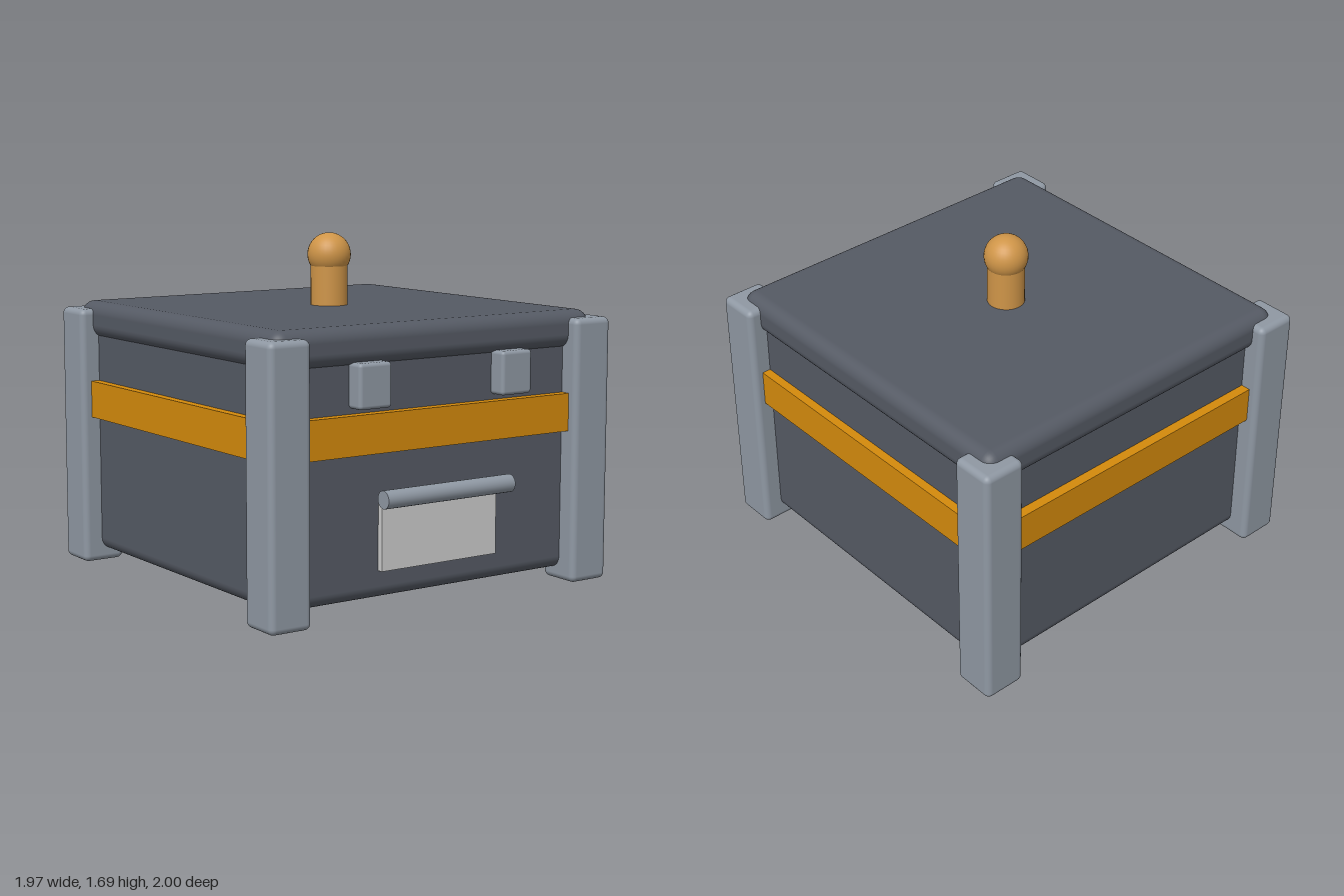
import * as THREE from 'three';
import { RoundedBoxGeometry } from 'three/addons/geometries/RoundedBoxGeometry.js';

const paint = (name, color) => {
  const m = new THREE.MeshStandardMaterial({ color });
  m.name = name;
  return m;
};

export function createModel() {
  const charcoal = paint('charcoal', 0x555a64);
  const steel = paint('steel', 0x8f98a3);
  const amber = paint('amber', 0xd48a0c);
  const brass = paint('brass', 0xcf9548);
  const label = paint('label grey', 0xcccccc);

  const model = new THREE.Group();
  model.name = 'strongbox';
  const CZ = -0.015; // centre line of the box; the front handle takes up the rest

  const add = (name, geometry, material, x, y, z, parent = model) => {
    const mesh = new THREE.Mesh(geometry, material);
    mesh.name = name;
    mesh.position.set(x, y, z);
    parent.add(mesh);
    return mesh;
  };
  const rounded = (w, h, d, r) => new RoundedBoxGeometry(w, h, d, 4, r);

  // Body and overhanging lid
  add('body', rounded(1.78, 1.16, 1.77, 0.06), charcoal, 0, 0.64, CZ);
  add('lid', rounded(1.84, 0.18, 1.85, 0.065), charcoal, 0, 1.245, CZ);

  // Band wrapping all four sides
  add('band', new THREE.BoxGeometry(1.87, 0.185, 1.87), amber, 0, 0.843, CZ);

  // Corner posts
  const posts = new THREE.Group();
  posts.name = 'cornerPosts';
  model.add(posts);
  for (const sx of [-1, 1]) {
    for (const sz of [-1, 1]) {
      add('cornerPost', rounded(0.22, 1.3, 0.22, 0.03), steel,
        sx * 0.875, 0.65, CZ + sz * 0.875, posts);
    }
  }

  // Latches hanging below the lid
  for (const sx of [-1, 1]) {
    add(sx > 0 ? 'leftLatch' : 'rightLatch', rounded(0.18, 0.21, 0.1, 0.018), steel,
      sx * 0.41, 1.067, 0.906);
  }

  // Front plate and the bar above it
  add('frontPlate', new THREE.BoxGeometry(0.67, 0.35, 0.04), label, 0, 0.37, 0.88);
  const bar = add('frontHandle', new THREE.CylinderGeometry(0.043, 0.043, 0.74, 24), steel,
    0, 0.543, 0.957);
  bar.rotation.z = Math.PI / 2;

  // Knob on the lid
  const knob = new THREE.Group();
  knob.name = 'lidKnob';
  model.add(knob);
  add('knobStem', new THREE.CylinderGeometry(0.092, 0.092, 0.28, 32), brass, 0, 1.44, CZ, knob);
  add('knobBall', new THREE.SphereGeometry(0.108, 32, 20), brass, 0, 1.585, CZ, knob);

  return model;
}
